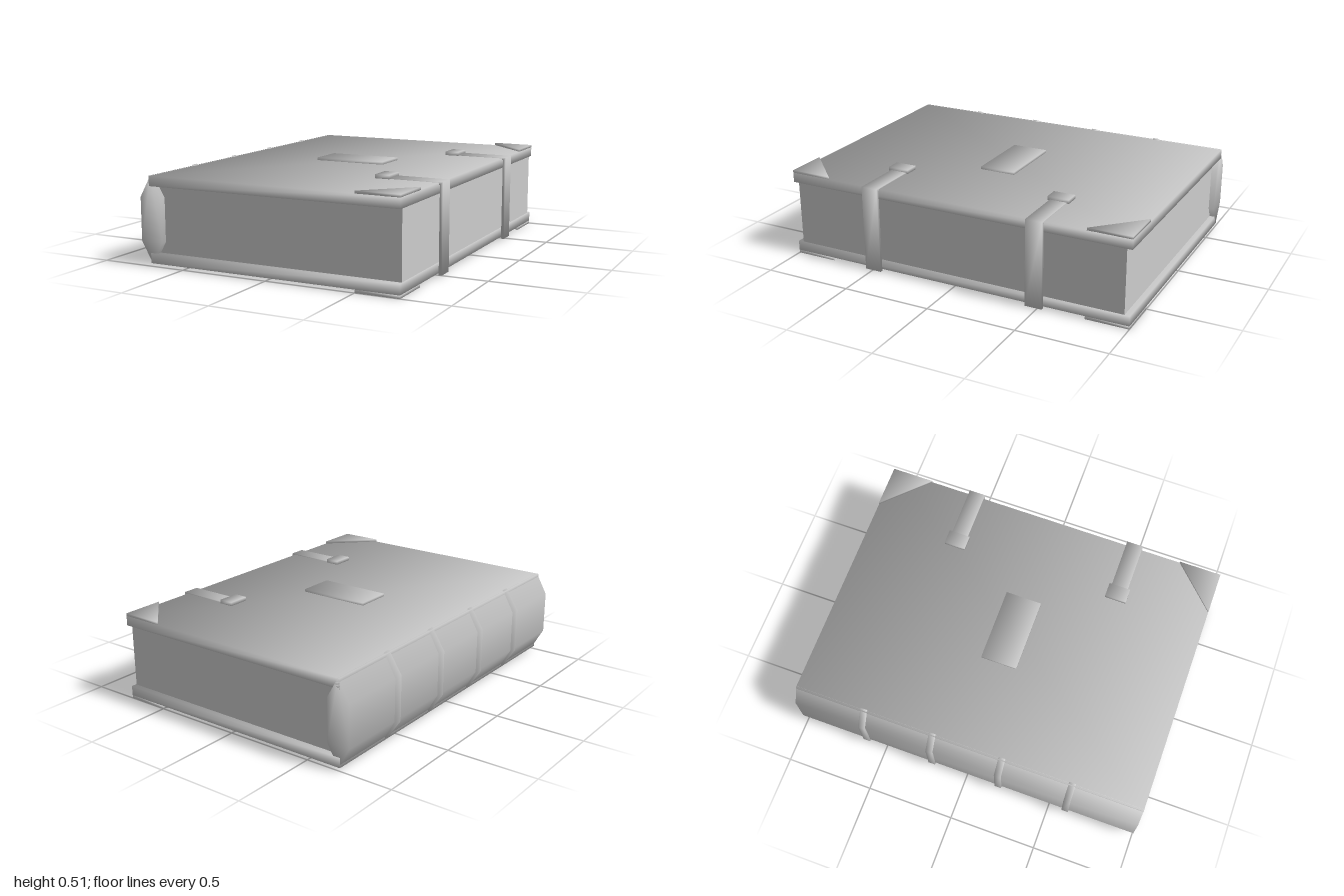
import * as THREE from 'three';
import { mergeVertices } from 'three/addons/utils/BufferGeometryUtils.js';

// Weld corners and average the face normals by corner angle for soft shading
function soften(source) {
  source.deleteAttribute('uv');
  source.deleteAttribute('normal');
  const geo = mergeVertices(source, 1e-4);
  geo.clearGroups();
  const pos = geo.attributes.position, index = geo.index;
  const sums = Array.from({ length: pos.count }, () => new THREE.Vector3());
  for (let i = 0; i < index.count; i += 3) {
    const ids = [0, 1, 2].map((k) => index.getX(i + k));
    const p = ids.map((id) => new THREE.Vector3().fromBufferAttribute(pos, id));
    const n = new THREE.Triangle(...p).getNormal(new THREE.Vector3());
    ids.forEach((id, k) => {
      const a = p[(k + 1) % 3].clone().sub(p[k]);
      const b = p[(k + 2) % 3].clone().sub(p[k]);
      sums[id].addScaledVector(n, a.angleTo(b));
    });
  }
  const normals = sums.flatMap((v) => v.normalize().toArray());
  geo.setAttribute('normal', new THREE.Float32BufferAttribute(normals, 3));
  return geo;
}

// Box given by its limits
function box(x0, x1, y0, y1, z0, z1) {
  return new THREE.BoxGeometry(x1 - x0, y1 - y0, z1 - z0)
    .translate((x0 + x1) / 2, (y0 + y1) / 2, (z0 + z1) / 2);
}

// Outline in x and y, extruded along z about a centre
function prism(points, width, z = 0) {
  const shape = new THREE.Shape(points.map(([x, y]) => new THREE.Vector2(x, y)));
  return new THREE.ExtrudeGeometry(shape, { depth: width, bevelEnabled: false })
    .translate(0, 0, z - width / 2);
}

// Upright hexagon used by the spine and its bands
function hexagon(rx, ry, flat) {
  const x = -0.69, y = 0.255;
  return [[x, y + ry], [x - rx, y + flat], [x - rx, y - flat],
    [x, y - ry], [x + rx, y - flat], [x + rx, y + flat]];
}

export function createModel() {
  const book = new THREE.Group();
  book.name = 'book';
  const grey = new THREE.MeshStandardMaterial({ color: 0xcccccc });
  grey.name = 'plain grey';

  const add = (name, geo) => {
    const mesh = new THREE.Mesh(geo, grey);
    mesh.name = name;
    book.add(mesh);
  };

  // Page block and the two covers
  add('pages', box(-0.69, 0.735, 0.06, 0.45, -0.97, 0.97));
  add('topCover', soften(box(-0.70, 0.74, 0.434, 0.489, -1, 1)));
  add('bottomCover', soften(box(-0.70, 0.74, 0.021, 0.076, -1, 1)));

  // Spine with four raised bands
  add('spine', soften(prism(hexagon(0.066, 0.235, 0.118), 2)));
  for (const z of [-0.6, -0.2, 0.2, 0.6]) {
    add('spineBand', soften(prism(hexagon(0.077, 0.243, 0.125), 0.038, z)));
  }

  // Title plate
  add('titlePlate', soften(box(-0.187, 0.224, 0.485, 0.504, -0.105, 0.1)));

  // Corner guards on both covers
  for (const side of [-1, 1]) {
    for (const y of [0.004, 0.488]) {
      const guard = prism([[0.5, side], [0.74, side], [0.74, side * 0.76]], 0.015, y + 0.0075)
        .rotateX(-Math.PI / 2);
      add('cornerGuard', soften(guard));
    }
  }

  // Two straps bent over the fore edge, each with a clasp
  const bend = [[0.44, 0.494], [0.762, 0.494], [0.762, 0.013],
    [0.745, 0.013], [0.745, 0.479], [0.44, 0.479]];
  for (const z of [-0.485, 0.485]) {
    add('strap', soften(prism(bend, 0.095, z)));
    add('clasp', soften(box(0.392, 0.473, 0.488, 0.51, z - 0.061, z + 0.061)));
  }

  return book;
}
